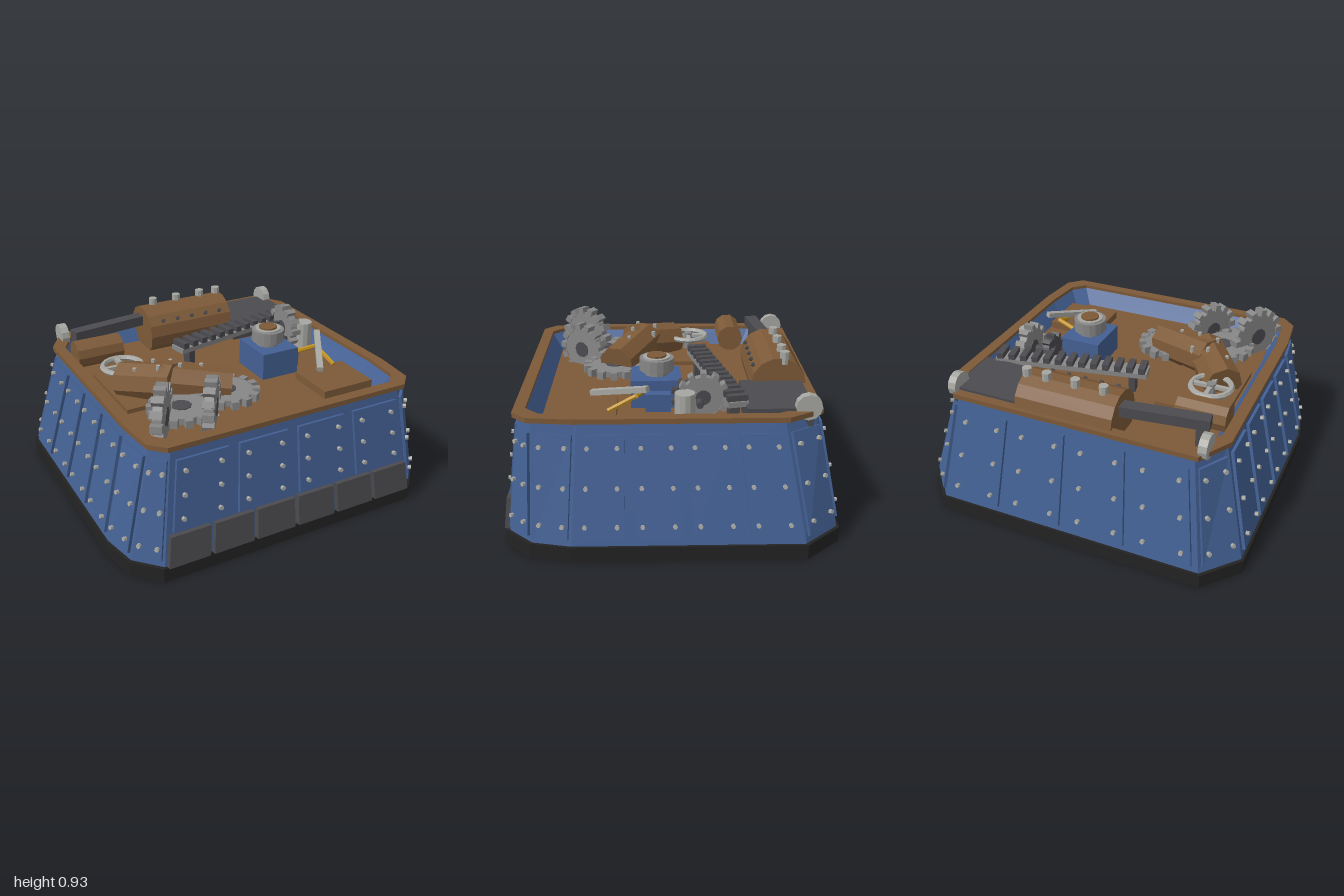
import * as THREE from 'three';

const mat = (name, color) => Object.assign(new THREE.MeshStandardMaterial({ color }), { name });
const V = (x, y, z) => new THREE.Vector3(x, y, z);

export function createModel() {
  const M = {
    blue: mat('blue paint', 0x436093), brown: mat('brown metal', 0x7d5a38),
    black: mat('black base', 0x232323), dark: mat('dark iron', 0x4b4b50),
    steel: mat('steel', 0x878787), pale: mat('pale steel', 0xa6a6a2), gold: mat('brass', 0xc0901f),
  };
  const model = new THREE.Group();

  // Faceted mesh helper
  function add(name, geo, material, pos, parent = model) {
    const g = geo.index ? geo.toNonIndexed() : geo;
    g.computeVertexNormals();
    const m = new THREE.Mesh(g, material);
    m.name = name;
    if (pos) m.position.copy(pos);
    parent.add(m);
    return m;
  }
  const box = (name, w, h, d, x, y, z, m, parent) => add(name, new THREE.BoxGeometry(w, h, d), m, V(x, y, z), parent);

  // Cylinder between two points
  function rod(name, a, b, r, sides, m, parent) {
    const d = b.clone().sub(a);
    const c = add(name, new THREE.CylinderGeometry(r, r, d.length(), sides), m, a.clone().add(b).multiplyScalar(0.5), parent);
    c.quaternion.setFromUnitVectors(V(0, 1, 0), d.normalize());
    return c;
  }

  // Skin a series of rings, optionally closing each end
  function loft(rings, capStart, capEnd) {
    const p = [];
    const tri = (...v) => v.forEach(q => p.push(q.x, q.y, q.z));
    const n = rings[0].length;
    for (let k = 0; k + 1 < rings.length; k++) {
      const a = rings[k], b = rings[k + 1];
      for (let i = 0; i < n; i++) {
        const j = (i + 1) % n;
        tri(a[i], a[j], b[j]);
        tri(a[i], b[j], b[i]);
      }
    }
    const s = rings[0], e = rings[rings.length - 1];
    for (let i = 1; i + 1 < n; i++) {
      if (capStart) tri(s[0], s[i + 1], s[i]);
      if (capEnd) tri(e[0], e[i], e[i + 1]);
    }
    return new THREE.BufferGeometry().setAttribute('position', new THREE.Float32BufferAttribute(p, 3));
  }

  // Plan outline: double chamfer at the front, single chamfer at the back
  const mirror = half => [...half, ...half.slice().reverse().map(([x, z]) => [-x, z])];
  const lower = mirror([[0.785, 0.885], [0.915, 0.75], [0.96, 0.54], [0.96, -0.69], [0.785, -0.885]]);
  const upper = mirror([[0.70, 0.81], [0.775, 0.735], [0.80, 0.50], [0.80, -0.57], [0.69, -0.755]]);
  const ring = (pts, y, off = 0) => pts.map(([x, z]) => V(x * (1 + off / 0.82), y, z * (1 + off / 0.82)));

  // Hull
  add('base', loft([ring(lower, 0, 0.013), ring(lower, 0.085, 0.013)], true, true), M.black);
  const B = ring(lower, 0.085), T = ring(upper, 0.73);
  add('hullWalls', loft([B, T]), M.blue);
  add('rim', loft([ring(upper, 0.722), ring(upper, 0.722, 0.03), ring(upper, 0.75, 0.03),
    ring(upper, 0.75, -0.035), ring(upper, 0.72, -0.035)]), M.brown);
  add('innerWalls', loft([ring(upper, 0.73, -0.035), ring(upper, 0.64, -0.1)]), M.blue);
  add('deck', loft([ring(upper, 0.6, -0.1), ring(upper, 0.64, -0.1)], false, true), M.brown);

  // Riveted plates laid on each wall facet
  function facet(i) {
    const j = (i + 1) % B.length;
    const normal = B[j].clone().sub(B[i]).cross(T[i].clone().sub(B[i])).normalize();
    const at = (u, y, out) => {
      const t = (y - 0.085) / 0.645;
      return B[i].clone().lerp(B[j], u).lerp(T[i].clone().lerp(T[j], u), t).addScaledVector(normal, out);
    };
    const plate = (name, u0, u1, y0, y1, thick, m) => {
      const r = out => [at(u0, y0, out), at(u1, y0, out), at(u1, y1, out), at(u0, y1, out)];
      add(name, loft([r(-0.005), r(thick)], false, true), m);
    };
    return { at, plate };
  }
  for (let i = 0; i < B.length; i++) {
    const { at, plate } = facet(i);
    const front = i === 9, n = [2, 4, 6, 9].includes(i) ? 4 : 1;
    const gap = n === 4 ? 0.022 : 0.08;
    const y0 = front ? 0.27 : 0.12;
    const rows = front ? [0.34, 0.47, 0.6] : [0.19, 0.39, 0.595];
    for (let k = 0; k < n; k++) {
      const u0 = k / n + gap, u1 = (k + 1) / n - gap, inset = (u1 - u0) * 0.16;
      plate('hullPlate', u0, u1, y0, 0.66, 0.018, M.blue);
      for (const y of rows) for (const u of [u0 + inset, u1 - inset])
        rod('rivet', at(u, y, 0.01), at(u, y, 0.037), 0.0125, 6, M.pale);
    }
    if (front) for (let k = 0; k < 6; k++)
      plate('skirtPlate', k / 6 + 0.008, (k + 1) / 6 - 0.008, 0.085, 0.26, 0.032, M.dark);
  }

  // Toothed wheel on any axis
  function gear(name, pos, axis, r, teeth, t, m = M.steel) {
    const g = new THREE.Group();
    g.name = name;
    const disc = (part, rad, h, sides, mm) => add(part, new THREE.CylinderGeometry(rad, rad, h, sides), mm, null, g);
    disc('gearDisc', r * 0.82, t, 20, m);
    disc('gearHub', r * 0.3, t * 1.25, 10, M.dark);
    for (let k = 0; k < teeth; k++) {
      const a = k / teeth * Math.PI * 2;
      box('gearTooth', r * 0.24, t * 1.3, r * 0.22, Math.cos(a) * r * 0.88, 0, Math.sin(a) * r * 0.88, m, g).rotation.y = -a;
    }
    g.position.copy(pos);
    g.quaternion.setFromUnitVectors(V(0, 1, 0), axis.normalize());
    model.add(g);
  }
  const diag = () => V(0.82, 0, 0.57);
  gear('driveGearLeft', V(-0.62, 0.755, 0.54), diag(), 0.175, 14, 0.05);
  gear('driveGearRight', V(-0.33, 0.74, 0.54), diag(), 0.165, 14, 0.05);
  gear('flatGearLeft', V(-0.45, 0.7, 0.42), V(0, 1, 0), 0.19, 14, 0.035);
  gear('flatGearRight', V(-0.13, 0.69, 0.34), V(0, 1, 0), 0.19, 14, 0.035);
  gear('rackGear', V(0.575, 0.77, -0.16), V(1, 0, 0), 0.14, 12, 0.045);
  gear('smallGear', V(0.465, 0.73, -0.1), V(1, 0, 0), 0.11, 10, 0.04, M.dark);
  rod('gearShaft', V(0.42, 0.75, -0.14), V(0.66, 0.75, -0.14), 0.02, 8, M.dark);

  // Bent gearbox housing
  rod('housingRear', V(-0.6, 0.71, -0.03), V(-0.39, 0.76, 0.24), 0.115, 8, M.brown);
  rod('housingFront', V(-0.47, 0.76, 0.15), V(-0.1, 0.71, 0.33), 0.115, 8, M.brown);
  for (const [x, z, y] of [[-0.575, 0.09, 0.82], [-0.46, 0.09, 0.85], [-0.36, 0.1, 0.83], [-0.48, 0.2, 0.86], [-0.36, 0.23, 0.86], [-0.24, 0.25, 0.84]])
    rod('housingBolt', V(x, y - 0.05, z), V(x, y + 0.01, z), 0.012, 6, M.pale);

  // Boiler with top valves
  rod('boiler', V(-0.23, 0.74, -0.6), V(0.34, 0.74, -0.6), 0.157, 14, M.brown);
  for (const x of [-0.135, 0.03, 0.2, 0.32])
    rod('boilerValve', V(x, 0.86, -0.63), V(x, 0.932, -0.63), 0.027, 8, M.pale);
  for (let k = 0; k < 5; k++)
    rod('boilerRivet', V(-0.14 + k * 0.1, 0.83, -0.47), V(-0.14 + k * 0.1, 0.838, -0.455), 0.012, 6, M.dark);
  box('fireboxCover', 0.42, 0.125, 0.35, 0.535, 0.702, -0.555, M.dark);
  const beam = box('sideBeam', 0.5, 0.06, 0.075, -0.455, 0.81, -0.59, M.dark);
  beam.rotation.y = 0.13;
  box('beamPost', 0.05, 0.16, 0.05, -0.66, 0.71, -0.57, M.dark);
  for (const s of [-1, 1])
    rod('cornerDisc', V(s * 0.705, 0.77, -0.7), V(s * 0.752, 0.77, -0.7), 0.07, 12, M.pale);
  rod('tank', V(-0.755, 0.755, -0.4), V(-0.47, 0.755, -0.4), 0.082, 10, M.brown);

  // Deck plates
  box('deckPlateLeft', 0.41, 0.03, 0.52, -0.485, 0.65, -0.02, M.brown);
  box('deckPlateRight', 0.33, 0.05, 0.3, 0.525, 0.66, 0.455, M.brown);

  // Hand wheel
  const wheel = add('handWheel', new THREE.TorusGeometry(0.115, 0.017, 6, 20), M.pale, V(-0.56, 0.75, -0.13));
  wheel.rotation.x = Math.PI / 2;
  box('wheelSpoke', 0.22, 0.02, 0.025, -0.56, 0.75, -0.13, M.pale);
  box('wheelSpoke', 0.025, 0.02, 0.22, -0.56, 0.75, -0.13, M.pale);
  rod('wheelStem', V(-0.56, 0.65, -0.13), V(-0.56, 0.77, -0.13), 0.028, 8, M.steel);

  // Toothed rack
  const rack = new THREE.Group();
  rack.name = 'rack';
  rack.position.set(0.25, 0.765, -0.25);
  rack.rotation.y = 0.2;
  model.add(rack);
  box('rackBar', 0.9, 0.03, 0.11, 0, 0, 0, M.steel, rack);
  for (let k = 0; k < 13; k++) box('rackTooth', 0.038, 0.035, 0.11, -0.42 + k * 0.07, 0.03, 0, M.dark, rack);
  for (const x of [-0.36, 0.36]) box('rackLeg', 0.04, 0.12, 0.06, x, -0.065, 0, M.dark, rack);

  // Pump block with capped ring
  box('pumpBlock', 0.24, 0.16, 0.28, 0.3, 0.72, 0.09, M.blue);
  box('pumpSide', 0.06, 0.1, 0.14, 0.45, 0.69, 0.08, M.blue);
  rod('pumpNeck', V(0.295, 0.79, 0.085), V(0.295, 0.83, 0.085), 0.07, 12, M.steel);
  rod('pumpRing', V(0.295, 0.825, 0.085), V(0.295, 0.895, 0.085), 0.097, 16, M.steel);
  rod('pumpCollar', V(0.295, 0.89, 0.085), V(0.295, 0.903, 0.085), 0.077, 16, M.pale);
  rod('pumpCap', V(0.295, 0.89, 0.085), V(0.295, 0.913, 0.085), 0.055, 12, M.brown);

  // Control lever, brass pipes and canister
  const lever = box('controlLever', 0.035, 0.03, 0.37, 0.525, 0.785, 0.29, M.pale);
  lever.lookAt(0.62, 0.83, 0.13);
  const pipe = [V(0.42, 0.74, 0.16), V(0.57, 0.77, 0.2), V(0.6, 0.7, 0.35)];
  rod('brassPipe', pipe[0], pipe[1], 0.014, 6, M.gold);
  rod('brassPipe', pipe[1], pipe[2], 0.014, 6, M.gold);
  rod('canister', V(0.65, 0.64, -0.06), V(0.65, 0.82, -0.06), 0.055, 12, M.pale);

  return model;
}
